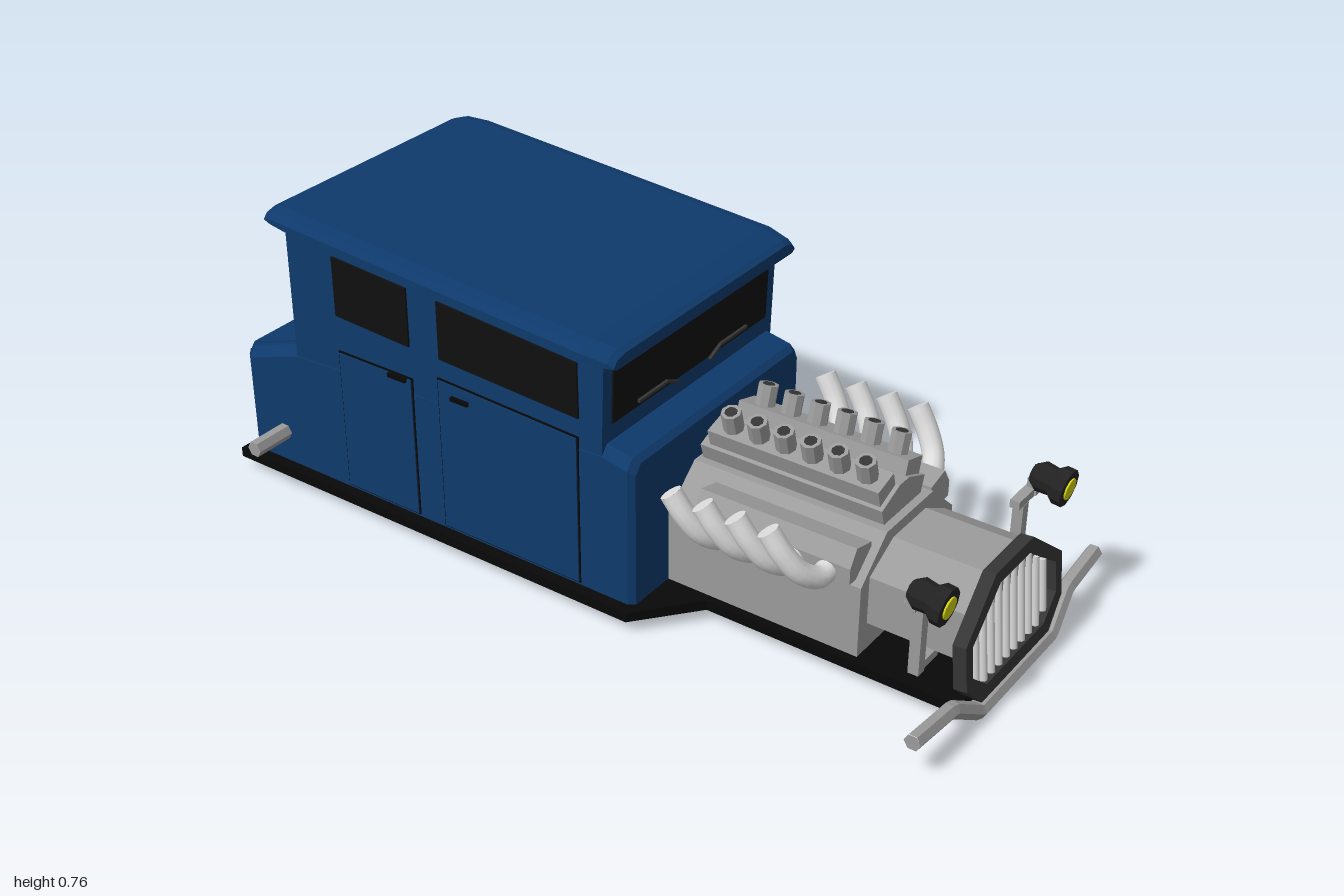
import * as THREE from 'three';

const mat = (name, color, extra = {}) => {
  const m = new THREE.MeshStandardMaterial({ color, ...extra });
  m.name = name;
  return m;
};

export function createModel() {
  const model = new THREE.Group();
  model.name = 'hotRod';
  const blue = mat('bodyBlue', 0x0e3a6c);
  const glass = mat('darkGlass', 0x101010);
  const black = mat('chassisBlack', 0x080808);
  const grey = mat('engineGrey', 0x9c9c9c);
  const chrome = mat('brightMetal', 0xdedede);
  const iron = mat('darkGrey', 0x353535);
  const lampShell = mat('lampShell', 0x222222);
  const yellow = mat('lampYellow', 0xd2d212);

  const flat = (g) => {
    const f = g.index ? g.toNonIndexed() : g;
    f.computeVertexNormals();
    return f;
  };
  const add = (name, geo, material, x = 0, y = 0, z = 0, parent = model) => {
    const m = new THREE.Mesh(geo, material);
    m.name = name;
    m.position.set(x, y, z);
    parent.add(m);
    return m;
  };
  const box = (name, w, h, d, material, x, y, z, parent) =>
    add(name, new THREE.BoxGeometry(w, h, d), material, x, y, z, parent);
  const shapeOf = (pts) => new THREE.Shape(pts.map(([x, y]) => new THREE.Vector2(x, y)));
  const extrude = (shape, depth) => new THREE.ExtrudeGeometry(shape, { depth, bevelEnabled: false });
  // Mirror a right-hand outline (listed bottom to top) across x = 0
  const symmetric = (half) => [...half, ...half.slice().reverse().map(([x, y]) => [-x, y])];
  const vec = (p) => new THREE.Vector3(...p);

  // Skin between cross-sections that run from front to back
  const loft = (rings) => {
    const n = rings[0].length, pos = [];
    const tri = (...ps) => ps.forEach((p) => pos.push(...p));
    for (let s = 0; s < rings.length - 1; s++) {
      for (let i = 0; i < n; i++) {
        const a = rings[s][i], b = rings[s][(i + 1) % n];
        const d = rings[s + 1][i], c = rings[s + 1][(i + 1) % n];
        tri(a, d, b);
        tri(b, d, c);
      }
    }
    const first = rings[0], last = rings[rings.length - 1];
    for (let i = 1; i < n - 1; i++) {
      tri(first[0], first[i], first[i + 1]);
      tri(last[0], last[i + 1], last[i]);
    }
    const g = new THREE.BufferGeometry();
    g.setAttribute('position', new THREE.Float32BufferAttribute(pos, 3));
    g.computeVertexNormals();
    return g;
  };

  // Floor pan
  const floor = extrude(shapeOf([[-0.365, -1], [0.365, -1], [0.365, 0.2], [0.22, 0.32], [0.22, 0.96],
    [-0.22, 0.96], [-0.22, 0.32], [-0.365, 0.2]]), 0.025);
  floor.rotateX(Math.PI / 2);
  add('floorPan', floor, black, 0, 0.06, 0);

  // Lower body with cowl and sloping boot: [z, half width, top]
  const lower = [[0.2, 0.325, 0.425], [0.185, 0.336, 0.437], [0.12, 0.336, 0.45], [0.1, 0.336, 0.45],
    [-0.8, 0.336, 0.4], [-0.965, 0.336, 0.342], [-1, 0.305, 0.33]];
  add('lowerBody', loft(lower.map(([z, w, t]) =>
    symmetric([[w, 0.06], [w, t - 0.025], [w - 0.02, t]]).map(([x, y]) => [x, y, z]))), blue);

  // Outline in z and y, extruded sideways from x0
  const sideSlab = (name, pts, x0, thick, material) => {
    const g = extrude(shapeOf(pts.map(([z, y]) => [-z, y])), thick);
    g.rotateY(Math.PI / 2);
    return add(name, g, material, x0, 0, 0);
  };
  sideSlab('cab', [[0.112, 0.3], [0.125, 0.69], [-0.8, 0.745], [-0.8, 0.3]], -0.335, 0.67, blue);

  // Roof: [z, half width, underside, top]
  const roof = [[0.165, 0.352, 0.66, 0.69], [0.15, 0.358, 0.66, 0.698], [0.09, 0.37, 0.667, 0.708],
    [-0.76, 0.37, 0.722, 0.765], [-0.82, 0.363, 0.726, 0.765], [-0.843, 0.358, 0.73, 0.757]];
  add('roof', loft(roof.map(([z, w, a, b]) =>
    symmetric([[w - 0.01, a], [w, a + 0.006], [w, b - 0.02], [w - 0.012, b - 0.007], [w - 0.04, b]])
      .map(([x, y]) => [x, y, z]))), blue);

  // Doors, side windows and handles
  const onBothSides = (name, pts, offset, thick, material) => {
    sideSlab(name + 'Left', pts, 0.335 + offset, thick, material);
    sideSlab(name + 'Right', pts, -0.335 - offset - thick, thick, material);
  };
  const rect = (z0, z1, y0, y1, y2, grow = 0) => [[z0 + grow, y0 - grow], [z0 + grow, y1 + grow],
    [z1 - grow, y2 + grow], [z1 - grow, y0 - grow]];
  [['frontDoor', 0.05, -0.345, 0.45, 0.465], ['rearDoor', -0.43, -0.652, 0.435, 0.435]]
    .forEach(([name, z0, z1, y1, y2]) => {
      onBothSides(name + 'Seam', rect(z0, z1, 0.07, y1, y2, 0.004), 0, 0.003, black);
      onBothSides(name, rect(z0, z1, 0.07, y1, y2), 0, 0.006, blue);
    });
  onBothSides('frontWindow', [[0.056, 0.502], [0.054, 0.64], [-0.34, 0.667], [-0.34, 0.52]], 0, 0.005, glass);
  onBothSides('rearWindow', [[-0.43, 0.522], [-0.43, 0.672], [-0.655, 0.686], [-0.655, 0.533]], 0, 0.005, glass);
  onBothSides('frontHandle', rect(-0.255, -0.305, 0.427, 0.437, 0.437), 0, 0.014, black);
  onBothSides('rearHandle', rect(-0.442, -0.495, 0.427, 0.437, 0.437), 0, 0.014, black);

  // Windscreen, wipers and back window
  box('windscreen', 0.605, 0.135, 0.009, glass, 0, 0.563, 0.1205).rotation.x = 0.033;
  box('backWindow', 0.58, 0.135, 0.008, glass, 0, 0.605, -0.801);
  for (const s of [-1, 1]) {
    box('wiperBlade', 0.11, 0.007, 0.008, iron, s * 0.158, 0.511, 0.127);
    box('wiperArm', 0.048, 0.006, 0.008, iron, s * 0.084, 0.501, 0.127).rotation.z = s * 0.44;
  }

  // Boot lids on the slope and the tail
  const slope = Math.atan2(0.07, 0.2);
  for (const s of [-1, 1]) {
    box('bootLid', 0.296, 0.008, 0.16, blue, s * 0.152, 0.368, -0.895).rotation.x = -slope;
    box('tailPanel', 0.296, 0.24, 0.006, blue, s * 0.152, 0.195, -0.998);
    box('bootHandle', 0.012, 0.012, 0.05, black, s * 0.027, 0.366, -0.93).rotation.x = -slope;
  }
  box('bootSeam', 0.006, 0.007, 0.17, black, 0, 0.368, -0.895).rotation.x = -slope;
  box('tailSeam', 0.006, 0.25, 0.005, black, 0, 0.195, -0.998);

  // Side exhaust tips
  const tip = flat(new THREE.CylinderGeometry(0.021, 0.021, 0.12, 6));
  for (const s of [-1, 1]) add('exhaustTip', tip, grey, s * 0.385, 0.143, -0.865).rotation.z = Math.PI / 2;

  // Engine block, front drum and intake
  const slab = (name, pts, z0, z1) => add(name, extrude(shapeOf(pts), z1 - z0), grey, 0, 0, z0);
  slab('engineBlock', symmetric([[0.2, 0.06], [0.2, 0.24], [0.1, 0.33]]), 0.19, 0.7);
  slab('frontDrum', symmetric([[0.07, 0.085], [0.165, 0.13], [0.165, 0.25], [0.07, 0.302]]), 0.69, 0.945);
  slab('intakeValley', symmetric([[0.07, 0.3], [0.092, 0.37], [0.02, 0.4]]), 0.21, 0.68);
  const stack = flat(new THREE.CylinderGeometry(0.024, 0.024, 0.085, 8));
  const bore = new THREE.CylinderGeometry(0.015, 0.015, 0.004, 8);
  const crossSection = [[0.13, 0.25], [0.215, 0.25], [0.215, 0.29], [0.19, 0.33], [0.13, 0.315]];
  for (const s of [-1, 1]) {
    slab('cylinderHead', crossSection.map(([x, y]) => [s * x, y]), 0.28, 0.68);
    const bank = new THREE.Group();
    bank.name = 'intakeBank';
    bank.position.set(s * 0.055, 0.395, 0);
    bank.rotation.z = -s * 0.28;
    model.add(bank);
    box('intakeRail', 0.066, 0.06, 0.44, grey, 0, 0, 0.45, bank);
    for (let i = 0; i < 6; i++) {
      const z = 0.28 + i * 0.069;
      add('intakeStack', stack, grey, 0, 0.037, z, bank);
      add('stackBore', bore, iron, 0, 0.0785, z, bank);
    }
    // Curved header pipes
    for (let i = 0; i < 4; i++) {
      const z = 0.62 - i * 0.083;
      const pts = [[0.19, 0.268, z], [0.24, 0.262, z], [0.285, 0.29, z - 0.02], [0.307, 0.335, z - 0.05],
        [0.315, 0.387, z - 0.085]].map(([x, y, w]) => new THREE.Vector3(s * x, y, w));
      const curve = new THREE.CatmullRomCurve3(pts);
      add('headerPipe', new THREE.TubeGeometry(curve, 14, 0.026, 12), chrome);
      const end = add('headerMouth', new THREE.CircleGeometry(0.026, 12), chrome, ...pts[4].toArray());
      end.lookAt(pts[4].clone().add(curve.getTangent(1)));
    }
  }

  // Grille, leaning back
  const grille = new THREE.Group();
  grille.name = 'grille';
  grille.position.set(0, 0, 0.968);
  grille.rotation.x = -0.1;
  model.add(grille);
  const rim = shapeOf(symmetric([[0.155, 0.036], [0.22, 0.1], [0.22, 0.21], [0.085, 0.318]]));
  const inner = symmetric([[0.133, 0.07], [0.192, 0.12], [0.192, 0.197], [0.067, 0.287]]);
  rim.holes.push(new THREE.Path(inner.map((p) => new THREE.Vector2(...p))));
  add('grilleFrame', extrude(rim, 0.032), iron, 0, 0, -0.014, grille);
  add('grilleBack', extrude(shapeOf(inner), 0.006), iron, 0, 0, -0.013, grille);
  for (let i = -5; i < 5; i++) {
    const x = (i + 0.5) * 0.0345, a = Math.abs(x);
    const top = Math.min(0.287, 0.287 - (a - 0.067) * 0.72);
    const bottom = Math.max(0.07, 0.07 + (a - 0.133) * 0.85);
    add('grilleBar', new THREE.CylinderGeometry(0.0095, 0.0095, top - bottom, 8), chrome,
      x, (top + bottom) / 2, 0.003, grille);
  }

  // Front bumper: straight hexagonal tube through bent points
  const bumper = new THREE.CurvePath();
  const bend = [[-0.42, 0.096, 0.96], [-0.265, 0.083, 0.965], [-0.165, 0.021, 0.98], [0.165, 0.021, 0.98],
    [0.265, 0.083, 0.965], [0.42, 0.096, 0.96]];
  for (let i = 0; i < 5; i++) bumper.add(new THREE.LineCurve3(vec(bend[i]), vec(bend[i + 1])));
  add('bumper', flat(new THREE.TubeGeometry(bumper, 60, 0.02, 6)), grey);
  for (const s of [-1, 1]) {
    const end = add('bumperEnd', new THREE.CircleGeometry(0.02, 6), grey, s * 0.42, 0.096, 0.96);
    end.rotation.y = s * Math.PI / 2;
  }

  // Headlights on posts
  const shell = flat(new THREE.LatheGeometry([[0, -0.055], [0.022, -0.05], [0.036, -0.03], [0.033, 0],
    [0.045, 0.015], [0.045, 0.038], [0.026, 0.038], [0, 0.036]].map((p) => new THREE.Vector2(...p)), 10));
  shell.rotateX(Math.PI / 2);
  const lens = new THREE.CylinderGeometry(0.026, 0.026, 0.006, 12);
  lens.rotateX(Math.PI / 2);
  for (const s of [-1, 1]) {
    box('lampPost', 0.026, 0.19, 0.026, grey, s * 0.222, 0.2, 0.855);
    box('lampFoot', 0.08, 0.02, 0.024, grey, s * 0.19, 0.12, 0.855);
    box('lampArm', 0.09, 0.02, 0.024, grey, s * 0.235, 0.305, 0.855);
    box('lampStem', 0.02, 0.04, 0.024, grey, s * 0.27, 0.318, 0.86);
    const lamp = new THREE.Group();
    lamp.name = 'headlight';
    lamp.position.set(s * 0.272, 0.342, 0.905);
    lamp.rotation.x = 0.12;
    model.add(lamp);
    add('lampShell', shell, lampShell, 0, 0, 0, lamp);
    add('lampLens', lens, yellow, 0, 0, 0.039, lamp);
  }
  return model;
}
